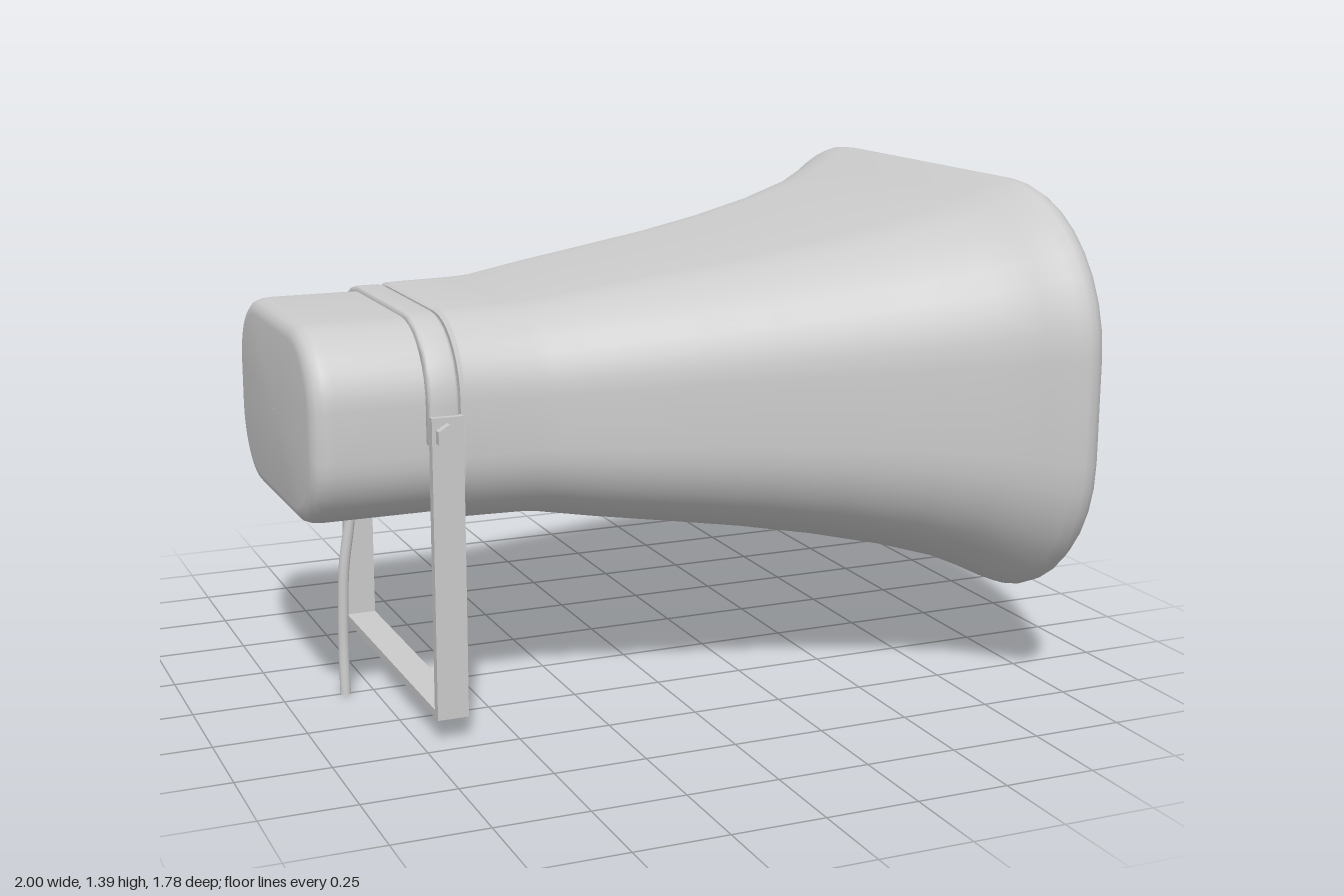
import * as THREE from 'three';
import { mergeVertices, toCreasedNormals } from 'three/addons/utils/BufferGeometryUtils.js';

const AXIS_Y = 0.818; // height of the horn's centre line
const material = new THREE.MeshStandardMaterial({ color: 0xcccccc, side: THREE.DoubleSide });

// Rounded rectangle with elliptical corners, as [z, y] points from +z towards +y
function section(hz, hy, kz = 0.5, ky = 0.75, steps = 9) {
  const points = [];
  const rz = hz * kz, ry = hy * ky;
  [[1, 1], [-1, 1], [-1, -1], [1, -1]].forEach(([sz, sy], corner) => {
    for (let i = 0; i <= steps; i++) {
      const a = (corner + i / steps) * Math.PI / 2;
      points.push([sz * (hz - rz) + rz * Math.cos(a), sy * (hy - ry) + ry * Math.sin(a)]);
    }
  });
  return points;
}

// Skin through stations [x, halfZ, halfY, cornerZ, cornerY] along the x axis
function loft(stations, crease = 0.6) {
  const positions = [], index = [];
  let n = 0;
  stations.forEach(([x, hz, hy, kz, ky], s) => {
    const ring = section(hz, hy, kz, ky);
    n = ring.length;
    ring.forEach(([z, y]) => positions.push(x, y, z));
    if (s === 0) return;
    for (let j = 0; j < n; j++) {
      const k = (j + 1) % n, a = (s - 1) * n, b = s * n;
      index.push(a + j, b + j, a + k, b + j, b + k, a + k);
    }
  });
  const g = new THREE.BufferGeometry();
  g.setAttribute('position', new THREE.Float32BufferAttribute(positions, 3));
  g.setIndex(index);
  return toCreasedNormals(g, crease);
}

export function createModel() {
  const model = new THREE.Group();
  model.name = 'hornLoudspeaker';
  const add = (name, geometry, x = 0, y = 0, z = 0) => {
    const mesh = new THREE.Mesh(geometry, material);
    mesh.name = name;
    mesh.position.set(x, y, z);
    model.add(mesh);
    return mesh;
  };

  // Horn: outside from the back to the rolled rim, then inside down to a round throat
  add('horn', loft([
    [-0.62, 0.39, 0.25], [-0.62, 0.422, 0.27], [-0.61, 0.43, 0.277], [-0.42, 0.437, 0.28],
    [-0.37, 0.443, 0.283], [-0.2, 0.485, 0.31], [0, 0.532, 0.338], [0.2, 0.58, 0.367],
    [0.4, 0.635, 0.402], [0.6, 0.702, 0.445], [0.75, 0.765, 0.487], [0.85, 0.828, 0.53],
    [0.91, 0.876, 0.56], [0.94, 0.888, 0.57], [0.965, 0.884, 0.567], [0.99, 0.865, 0.555],
    [1, 0.85, 0.547], [0.995, 0.835, 0.54], [0.975, 0.818, 0.531], [0.94, 0.805, 0.523],
    [0.85, 0.765, 0.497], [0.7, 0.695, 0.452], [0.5, 0.61, 0.4, 0.54, 0.76],
    [0.25, 0.5, 0.34, 0.62, 0.8], [0, 0.395, 0.285, 0.75, 0.87],
    [-0.25, 0.28, 0.235, 0.9, 0.95], [-0.4, 0.2, 0.2, 0.98, 0.98], [-0.4, 0.001, 0.001],
  ]), 0, AXIS_Y);

  // Driver housing at the back, with a rounded rear edge
  add('driverHousing', loft([
    [-1, 0.001, 0.001], [-1, 0.355, 0.22], [-0.996, 0.375, 0.237], [-0.984, 0.391, 0.251],
    [-0.965, 0.399, 0.258], [-0.94, 0.401, 0.26], [-0.6, 0.401, 0.26], [-0.6, 0.001, 0.001],
  ]), 0, AXIS_Y);

  // Centre tube inside the horn, with a rounded lip and a shallow dished face
  const tube = [[0.215, -0.4], [0.215, 0.45], [0.205, 0.7], [0.2, 0.74], [0.19, 0.77],
    [0.178, 0.785], [0.165, 0.79], [0.155, 0.787], [0.1, 0.77], [0.05, 0.762], [0, 0.76]];
  const core = add('centreTube', toCreasedNormals(
    new THREE.LatheGeometry(tube.map(([r, h]) => new THREE.Vector2(r, h)), 48), 0.6), 0, AXIS_Y);
  core.rotation.z = -Math.PI / 2;

  // Strap arching over the housing between the two bracket legs
  const upper = (hz, hy) => section(hz, hy).slice(0, 20).map(([z, y]) => new THREE.Vector2(z, y));
  const outer = upper(0.424, 0.265), inner = upper(0.396, 0.24).reverse();
  const strapShape = new THREE.Shape([
    new THREE.Vector2(0.424, -0.03), ...outer, new THREE.Vector2(-0.424, -0.03),
    new THREE.Vector2(-0.396, -0.03), ...inner, new THREE.Vector2(0.396, -0.03),
  ]);
  const strapGeometry = mergeVertices(new THREE.ExtrudeGeometry(strapShape, {
    depth: 0.06, bevelEnabled: true, bevelThickness: 0.01, bevelSize: 0.008, bevelSegments: 3,
  }).deleteAttribute('normal').deleteAttribute('uv'));
  strapGeometry.translate(0, 0, -0.03);
  const strap = add('strap', toCreasedNormals(strapGeometry, 0.6), -0.665, AXIS_Y);
  strap.rotation.y = Math.PI / 2;

  // Bracket: two flat legs with hex bolts, joined by a bar at the foot
  for (const side of [1, -1]) {
    const name = side > 0 ? 'front' : 'rear';
    add(name + 'BracketLeg', new THREE.BoxGeometry(0.084, 0.8, 0.026), -0.663, 0.46, side * 0.435);
    const bolt = add(name + 'Bolt',
      toCreasedNormals(new THREE.CylinderGeometry(0.034, 0.034, 0.03, 6), 0.6), -0.665, 0.812, side * 0.455);
    bolt.rotation.x = Math.PI / 2;
  }
  add('bracketBar', new THREE.BoxGeometry(0.084, 0.022, 0.88), -0.663, 0.071, 0);

  // Cable hanging from the housing
  const path = new THREE.CatmullRomCurve3([
    [-0.8, 0.6, 0], [-0.803, 0.5, 0], [-0.822, 0.36, -0.002], [-0.827, 0.25, -0.005],
    [-0.829, 0.12, -0.005], [-0.83, 0, 0.004],
  ].map((p) => new THREE.Vector3(...p)));
  add('cable', new THREE.TubeGeometry(path, 30, 0.015, 12));
  const end = add('cableEnd', new THREE.CircleGeometry(0.015, 12), -0.83, 0.0005, 0.004);
  end.rotation.x = Math.PI / 2;

  return model;
}
